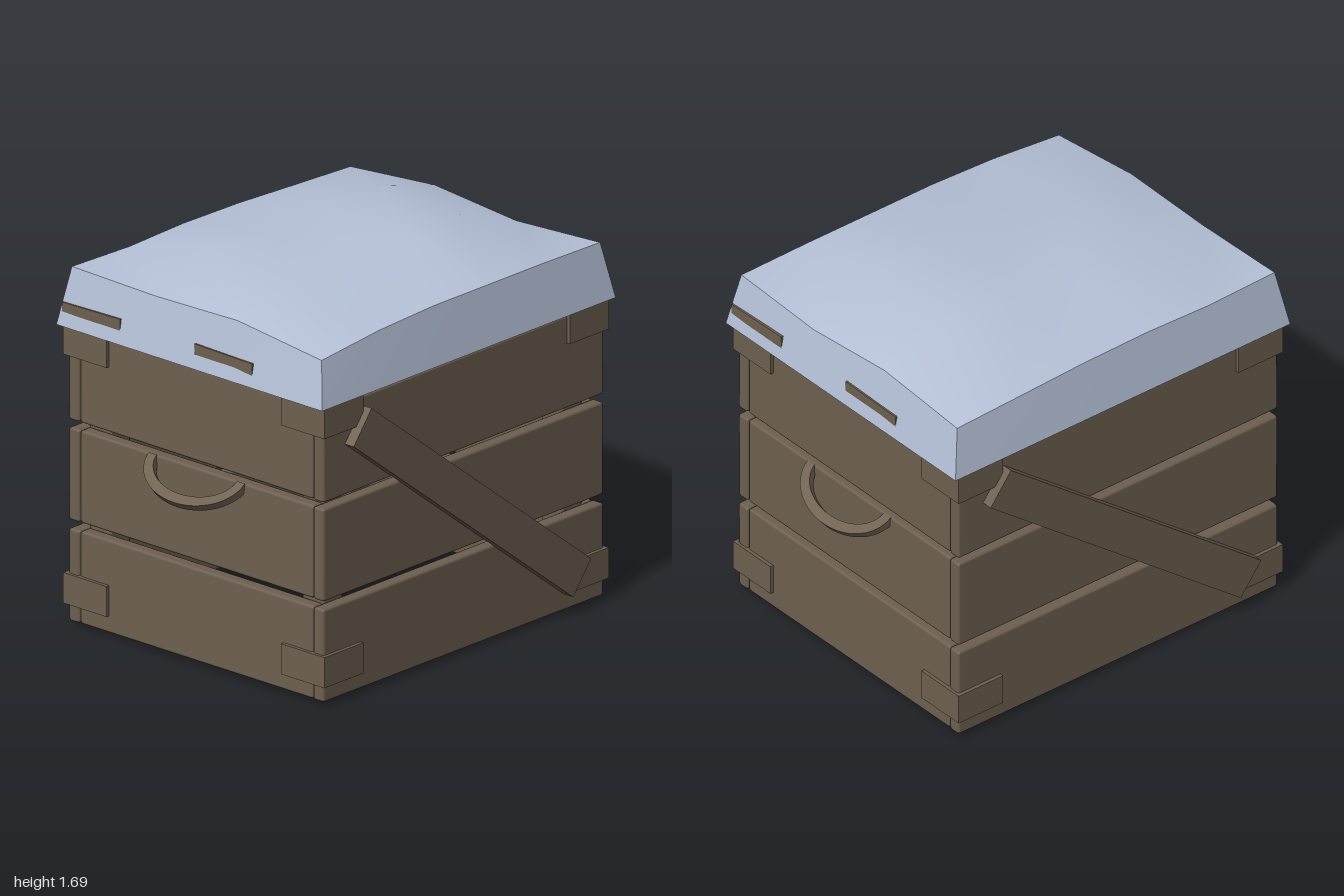
import * as THREE from 'three';
import { RoundedBoxGeometry } from 'three/addons/geometries/RoundedBoxGeometry.js';

const wood = new THREE.MeshStandardMaterial({ color: 0x6e6050 });
wood.name = 'weathered wood';
const cloth = new THREE.MeshStandardMaterial({ color: 0xb6c2d9, side: THREE.DoubleSide });
cloth.name = 'pale blue cloth';

// Box given by its low and high corners, optionally with softened edges
function box(parent, name, lo, hi, bevel = 0) {
  const s = hi.map((v, i) => v - lo[i]);
  const geo = bevel ? new RoundedBoxGeometry(...s, 1, bevel) : new THREE.BoxGeometry(...s);
  const mesh = new THREE.Mesh(geo, wood);
  mesh.name = name;
  mesh.position.set(...hi.map((v, i) => (v + lo[i]) / 2));
  parent.add(mesh);
  return mesh;
}

// Heights of the cloth top, rows from back to front
const XS = [-0.85, -0.5, -0.17, 0.17, 0.5, 0.85];
const ZS = [-0.7, -0.23, 0.23, 0.7];
const HEIGHTS = [
  [1.58, 1.57, 1.58, 1.575, 1.56, 1.545],
  [1.57, 1.665, 1.655, 1.68, 1.68, 1.585],
  [1.58, 1.65, 1.64, 1.69, 1.67, 1.545],
  [1.525, 1.56, 1.575, 1.575, 1.575, 1.57],
];

function surface(name, points, index) {
  const geo = new THREE.BufferGeometry();
  geo.setAttribute('position', new THREE.Float32BufferAttribute(points.flat(), 3));
  geo.setIndex(index);
  geo.computeVertexNormals();
  const mesh = new THREE.Mesh(geo, cloth);
  mesh.name = name;
  return mesh;
}

function createCover() {
  const cover = new THREE.Group();
  cover.name = 'clothCover';
  const at = (r, c) => [XS[c], HEIGHTS[r][c], ZS[r]];

  // Billowing top
  const top = [], index = [];
  for (let r = 0; r < 4; r++) for (let c = 0; c < 6; c++) {
    top.push(at(r, c));
    if (r < 3 && c < 5) {
      const a = r * 6 + c, b = a + 6;
      index.push(a, b, a + 1, b, b + 1, a + 1);
    }
  }
  cover.add(surface('coverTop', top, index));

  // Four flared sides, each following the top's edge (counter-clockwise from above)
  const cols = [0, 1, 2, 3, 4, 5], rows = [0, 1, 2, 3];
  const edges = {
    coverFront: cols.map((c) => at(3, c)),
    coverLeft: rows.map((r) => at(3 - r, 5)),
    coverBack: cols.map((c) => at(0, 5 - c)),
    coverRight: rows.map((r) => at(r, 0)),
  };
  for (const [name, edge] of Object.entries(edges)) {
    const pts = [], idx = [];
    edge.forEach(([x, y, z], i) => {
      pts.push([x, y, z], [x * 0.896 / 0.85, 1.325, z * 0.745 / 0.7]);
      if (i) {
        const a = 2 * i - 2;
        idx.push(a, a + 1, a + 2, a + 1, a + 3, a + 2);
      }
    });
    cover.add(surface(name, pts, idx));
  }
  return cover;
}

// Half-oval handle hanging outward from the +x side
function createHandle() {
  const shape = new THREE.Shape();
  shape.absellipse(0, 0, 0.27, 0.18, 0, Math.PI, false);
  shape.lineTo(-0.225, 0);
  shape.absellipse(0, 0, 0.225, 0.135, Math.PI, 0, true);
  const geo = new THREE.ExtrudeGeometry(shape, { depth: 0.035, bevelEnabled: false, curveSegments: 14 });
  geo.rotateX(Math.PI / 2);
  geo.rotateY(Math.PI / 2);
  geo.rotateZ(-0.68);
  const handle = new THREE.Mesh(geo, wood);
  handle.name = 'handle';
  handle.position.set(0.85, 0.87, 0);
  return handle;
}

// One half of the crate: front wall, +x wall and their fittings
function createHalf() {
  const half = new THREE.Group();
  half.name = 'crateHalf';

  // Three planks on each wall, set very slightly askew
  [[0.015, 0.425], [0.46, 0.87], [0.9, 1.31]].forEach(([y0, y1], i) => {
    const tilt = [-0.002, -0.001, 0.003][i];
    box(half, 'frontPlank', [-0.855, y0, 0.655], [0.855, y1, 0.715], 0.012).rotation.z = tilt;
    box(half, 'sidePlank', [0.79, y0, -0.653], [0.852, y1, 0.653], 0.012).rotation.x = -tilt;
  });

  // Corner posts and L-shaped brackets
  for (const s of [-1, 1]) {
    const span = (a, b) => (s > 0 ? [a, b] : [-b, -a]);
    const [px0, px1] = span(0.67, 0.79);
    box(half, 'cornerPost', [px0, 0, 0.535], [px1, 1.3, 0.655], 0.01);
    for (const y of [0.09, 1.19]) {
      const [fx0, fx1] = span(0.63, 0.868);
      box(half, 'bracketFrontPlate', [fx0, y, 0.7], [fx1, y + 0.135, 0.732]);
      const [sz0, sz1] = span(0.49, 0.731);
      box(half, 'bracketSidePlate', [0.84, y, sz0], [0.868, y + 0.135, sz1]);
    }
  }

  // Diagonal brace across the front
  const brace = box(half, 'diagonalBrace', [-0.848, 0.586, 0.715], [0.848, 0.764, 0.765]);
  brace.rotation.z = -0.66;

  // Lid boards whose ends poke through the cloth
  for (const z of [0.56, -0.18]) {
    box(half, 'lidBoard', [-0.84, 1.34, z - 0.162], [0.885, 1.43, z + 0.162]).rotation.x = z > 0 ? 0.02 : -0.02;
  }

  half.add(createHandle());
  return half;
}

export function createModel() {
  const model = new THREE.Group();
  model.name = 'coveredCrate';
  const front = createHalf();
  const back = createHalf();
  back.rotation.y = Math.PI;
  model.add(front, back, createCover());
  return model;
}
